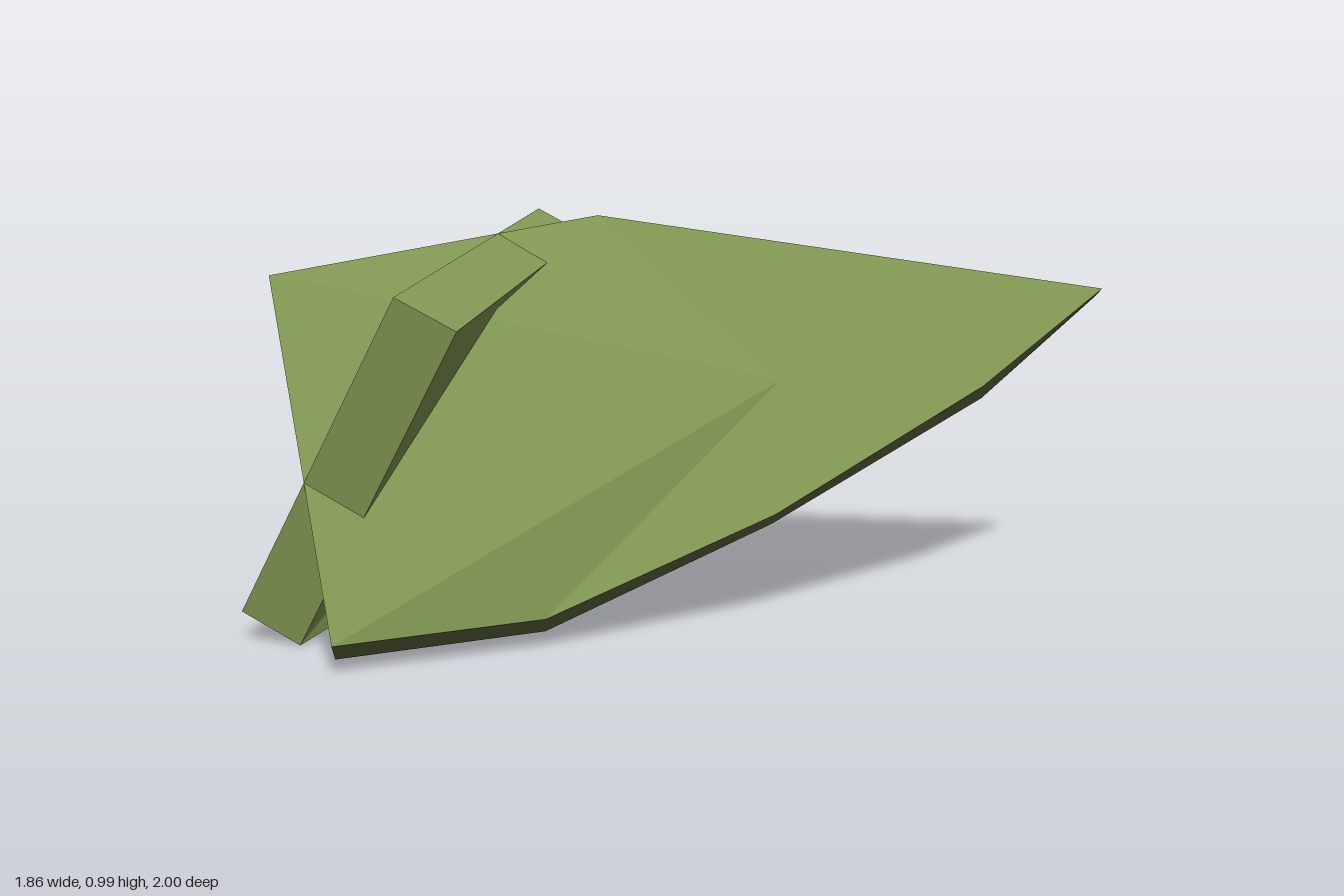
import * as THREE from 'three';

// Outer rim of one leaf-shaped slab, clockwise as seen from outside
const outerRim = [
  [-0.93, 0.08, 0.18],   // front lower corner
  [-0.78, 0.875, -0.24], // front upper corner
  [-0.02, 0.99, 0.11],   // crest
  [0.90, 0.805, 1.00],   // tip
  [0.57, 0.58, 0.88],
  [0.06, 0.30, 0.65],
  [-0.45, 0.085, 0.38],
];
// Matching inner rim, tapering in thickness towards the tip
const innerRim = [
  [-0.84, 0.0, 0.07],
  [-0.69, 0.80, -0.35],
  [0.06, 0.925, 0.02],
  [0.93, 0.78, 0.965],
  [0.61, 0.54, 0.85],
  [0.13, 0.25, 0.58],
  [-0.36, 0.01, 0.28],
];
const outerCentre = [0.18, 0.60, 0.55];
// Shallow facet points on the inner face
const innerCentre = [0.33, 0.59, 0.52];
const innerUpper = [0.15, 0.76, 0.28];
const innerLower = [-0.08, 0.27, 0.40];

// Flat-shaded geometry from triangles; side = -1 mirrors it in z
function facets(triangles, side) {
  const pos = [];
  for (const [a, b, c] of triangles) {
    for (const p of side > 0 ? [a, b, c] : [a, c, b]) pos.push(p[0], p[1], p[2] * side);
  }
  const g = new THREE.BufferGeometry();
  g.setAttribute('position', new THREE.Float32BufferAttribute(pos, 3));
  g.computeVertexNormals();
  return g;
}

// Triangles from a centre to each pair of neighbouring points
const fan = (centre, points) => points.slice(1).map((p, i) => [centre, points[i], p]);

// Strip joining the outer and inner rims over the given edges
const rimStrip = (edges) => edges.flatMap((i) => {
  const j = (i + 1) % outerRim.length;
  return [
    [outerRim[i], outerRim[j], innerRim[j]],
    [outerRim[i], innerRim[j], innerRim[i]],
  ];
});

export function createModel() {
  const group = new THREE.Group();
  group.name = 'crossedLeaves';
  const olive = new THREE.MeshStandardMaterial({ color: 0x819653 });
  olive.name = 'olive green';
  const darkOlive = new THREE.MeshStandardMaterial({ color: 0x5c683c });
  darkOlive.name = 'dark olive';

  const [a, b, c, d, f, g, h] = innerRim;
  const parts = [
    ['OuterFace', olive, fan(outerCentre, [...outerRim, outerRim[0]].reverse())],
    ['InnerFace', olive, [
      ...fan(innerCentre, [d, f, g, innerLower, a, b, innerUpper, d]),
      ...fan(innerUpper, [b, c, d]),
      ...fan(innerLower, [g, h, a]),
    ]],
    ['UpperRim', olive, rimStrip([0, 1, 2])],
    ['LowerRim', darkOlive, rimStrip([3, 4, 5, 6])],
  ];

  // Two mirrored slabs that cross each other near the front
  for (const [name, side] of [['frontLeaf', 1], ['backLeaf', -1]]) {
    const leaf = new THREE.Group();
    leaf.name = name;
    for (const [part, material, triangles] of parts) {
      const mesh = new THREE.Mesh(facets(triangles, side), material);
      mesh.name = name + part;
      leaf.add(mesh);
    }
    group.add(leaf);
  }
  return group;
}
